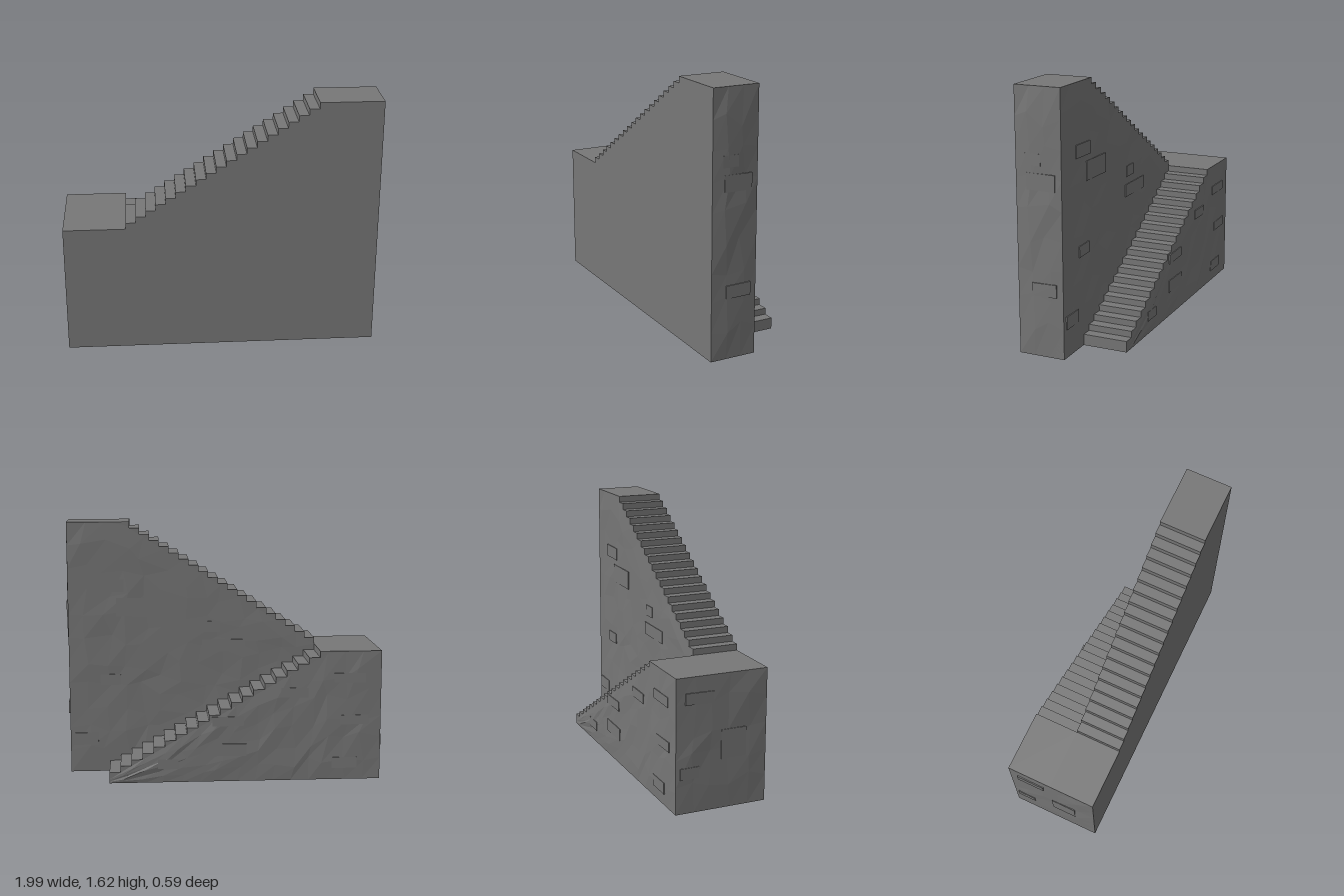
import * as THREE from 'three';

const STEPS = 19;
const LAND_X = -0.6, LAND_Y = 0.83, TOP_Y = 1.625, LEFT = -0.99, RIGHT = 0.985;
const DEPTH = 0.295, REAR_Z = -0.287, REAR_END = 0.73;

const stone = new THREE.MeshStandardMaterial({ color: 0x777777 });
stone.name = 'dark grey stone';

function seeded(seed) {
  return () => (seed = (seed * 16807) % 2147483647) / 2147483647;
}

function add(parent, geometry, name) {
  const mesh = new THREE.Mesh(geometry, stone);
  mesh.name = name;
  parent.add(mesh);
  return mesh;
}

// Solid wall with a stepped outline, running from zMin to zMax
function steppedWall(points, zMin, zMax) {
  const shape = new THREE.Shape(points.map(([x, y]) => new THREE.Vector2(x, y)));
  const geometry = new THREE.ExtrudeGeometry(shape, { depth: zMax - zMin, bevelEnabled: false });
  return geometry.translate(0, 0, zMin);
}

// Faceted rough masonry skin; its rim meets the wall and its inside bulges out
function roughSkin(x0, x1, topAt, nx, ny, bulge, seed) {
  const rand = seeded(seed);
  const plane = new THREE.PlaneGeometry(1, 1, nx, ny);
  const pos = plane.attributes.position;
  for (let i = 0; i < pos.count; i++) {
    const col = i % (nx + 1), row = Math.floor(i / (nx + 1));
    const inside = col > 0 && col < nx && row > 0 && row < ny;
    const jitter = inside ? 0.6 : 0;
    const u = (col + (rand() - 0.5) * jitter) / nx;
    const v = 1 - (row + (rand() - 0.5) * jitter) / ny;
    const x = x0 + (x1 - x0) * u;
    pos.setXYZ(i, x, topAt(x) * v, inside ? 0.001 + rand() * bulge : 0);
  }
  const geometry = plane.toNonIndexed();
  geometry.computeVertexNormals();
  return geometry;
}

// One weathered face: skin plus raised bricks [x, y, width, height]
function roughFace(name, skin, bricks, thickness) {
  const face = new THREE.Group();
  face.name = name;
  add(face, skin, name + 'Skin');
  bricks.forEach(([x, y, w, h], i) => {
    const brick = add(face, new THREE.BoxGeometry(w, h, thickness), 'raisedBrick');
    brick.position.set(x, y, thickness / 2);
    brick.rotation.z = (i % 3 - 1) * 0.015;
  });
  return face;
}

export function createModel() {
  const model = new THREE.Group();
  model.name = 'stoneStaircase';

  // Upper flight, rising to the left from the landing
  const upRun = (0.59 - LAND_X) / STEPS, upRise = (TOP_Y - LAND_Y) / (STEPS + 1);
  const upper = [[LEFT, 0], [RIGHT, 0], [RIGHT, TOP_Y]];
  for (let i = STEPS; i >= 0; i--) {
    const x = LAND_X + i * upRun;
    upper.push([x, LAND_Y + (i + 1) * upRise], [x, LAND_Y + i * upRise]);
  }
  upper.push([LEFT, LAND_Y]);
  add(model, steppedWall(upper, 0, DEPTH), 'upperFlight');

  // Lower flight, descending behind it from the same landing
  const downRun = (REAR_END - LAND_X) / STEPS, downRise = 0.04;
  const lower = [[LEFT, 0], [REAR_END, 0]];
  for (let i = STEPS; i >= 1; i--) {
    const y = LAND_Y - i * downRise;
    lower.push([LAND_X + i * downRun, y], [LAND_X + (i - 1) * downRun, y]);
  }
  lower.push([LAND_X, LAND_Y], [LEFT, LAND_Y]);
  add(model, steppedWall(lower, REAR_Z, 0), 'lowerFlight');

  // Back of the upper wall (face x runs opposite to model x)
  const upperTop = x => Math.min(TOP_Y, LAND_Y + (-x - LAND_X) * upRise / upRun);
  const upperBack = roughFace('upperBack',
    roughSkin(-RIGHT, -LAND_X, upperTop, 13, 11, 0.006, 11),
    [[-0.55, 1.08, 0.26, 0.12], [0.01, 0.825, 0.28, 0.08], [-0.72, 0.61, 0.13, 0.07],
      [-0.72, 1.22, 0.18, 0.08], [-0.88, 0.22, 0.15, 0.08], [-0.06, 0.95, 0.1, 0.07]], 0.009);
  upperBack.rotation.y = Math.PI;
  model.add(upperBack);

  // Back of the lower wall
  const lowerTop = x => Math.min(LAND_Y, LAND_Y - downRise - (-x - LAND_X) * downRise / downRun);
  const lowerBack = roughFace('lowerBack',
    roughSkin(-REAR_END, -LEFT, lowerTop, 15, 6, 0.008, 23),
    [[0.025, 0.205, 0.22, 0.08], [0.76, 0.11, 0.16, 0.07], [0.02, 0.39, 0.2, 0.06],
      [-0.36, 0.12, 0.13, 0.06], [0.79, 0.66, 0.2, 0.06], [0.82, 0.39, 0.18, 0.06],
      [0.44, 0.57, 0.17, 0.06]], 0.009);
  lowerBack.rotation.y = Math.PI;
  lowerBack.position.z = REAR_Z;
  model.add(lowerBack);

  // High end of the upper wall
  const highEnd = roughFace('highEnd',
    roughSkin(-DEPTH, 0, () => TOP_Y, 3, 9, 0.012, 37),
    [[-0.13, 1.07, 0.18, 0.1], [-0.18, 1.2, 0.1, 0.07], [-0.12, 0.42, 0.16, 0.08]], 0.01);
  highEnd.rotation.y = Math.PI / 2;
  highEnd.position.x = RIGHT;
  model.add(highEnd);

  // Landing end shared by both flights
  const landingEnd = roughFace('landingEnd',
    roughSkin(REAR_Z, DEPTH, () => LAND_Y, 5, 5, 0.008, 51),
    [[-0.14, 0.7, 0.18, 0.07], [0.08, 0.4, 0.16, 0.18], [-0.2, 0.25, 0.12, 0.07]], 0.009);
  landingEnd.rotation.y = -Math.PI / 2;
  landingEnd.position.x = LEFT;
  model.add(landingEnd);

  return model;
}
